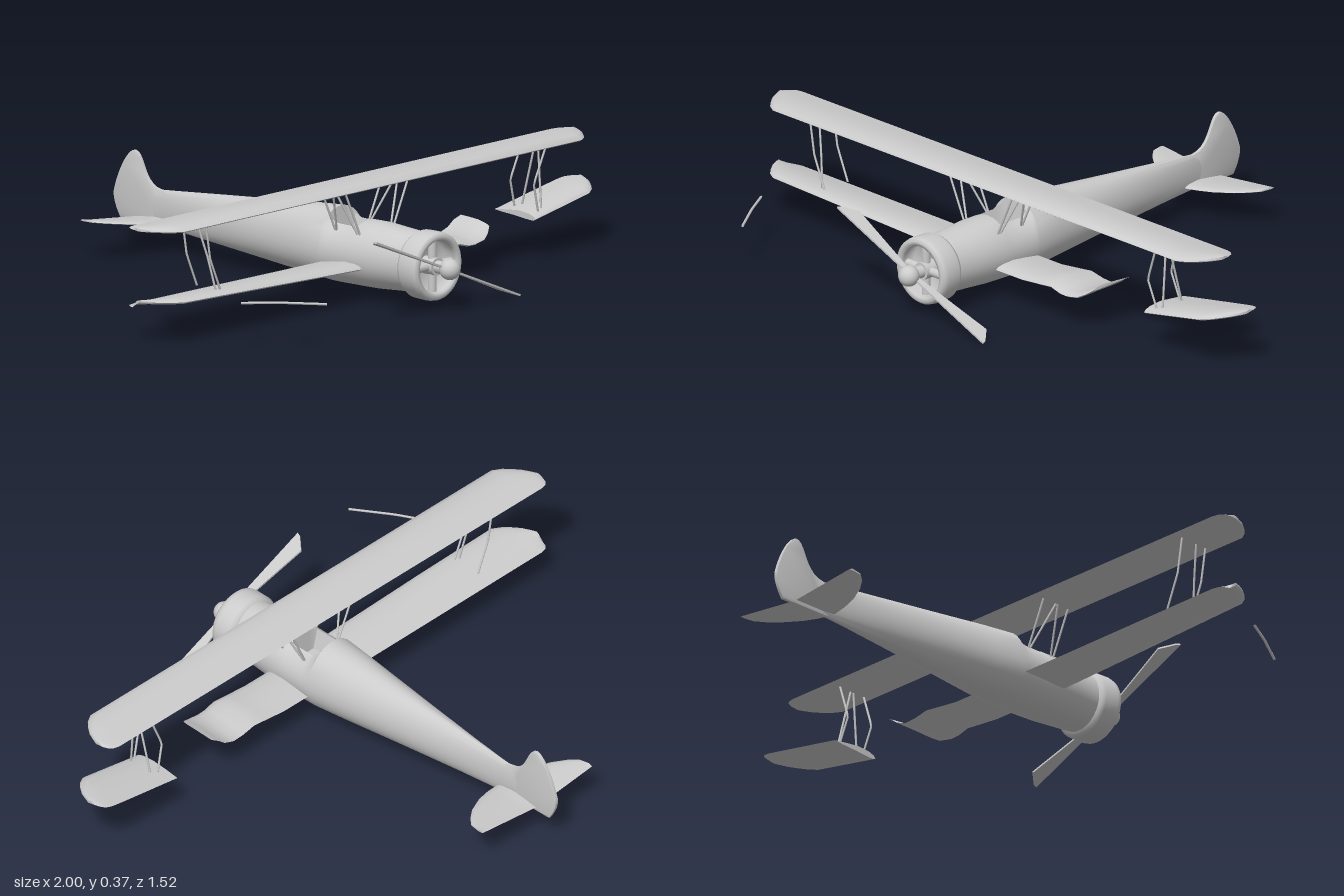
import * as THREE from 'three';
import { toCreasedNormals } from 'three/addons/utils/BufferGeometryUtils.js';

const CX = -0.035; // fuselage centre line
const V = (x, y, z) => new THREE.Vector3(x, y, z);
const material = new THREE.MeshStandardMaterial({ color: 0xcccccc, side: THREE.DoubleSide });

function add(group, name, geometry) {
  const mesh = new THREE.Mesh(geometry, material);
  mesh.name = name;
  group.add(mesh);
  return mesh;
}

// Skin closed rings of points, cap both ends and turn the faces outwards
function loft(rings, crease = 0.7) {
  const n = rings[0].length, last = rings.length - 1, tris = [];
  for (let i = 0; i < last; i++) {
    for (let j = 0; j < n; j++) {
      const k = (j + 1) % n, a = rings[i][j], b = rings[i][k], c = rings[i + 1][k], d = rings[i + 1][j];
      tris.push([a, b, c], [a, c, d]);
    }
  }
  for (const [ring, flip] of [[rings[0], true], [rings[last], false]]) {
    const mid = ring.reduce((s, p) => s.add(p), V(0, 0, 0)).divideScalar(n);
    ring.forEach((p, j) => {
      const q = ring[(j + 1) % n];
      tris.push(flip ? [mid, q, p] : [mid, p, q]);
    });
  }
  const volume = tris.reduce((s, [a, b, c]) => s + a.dot(b.clone().cross(c)), 0);
  const points = tris.flatMap(t => (volume < 0 ? [t[0], t[2], t[1]] : t));
  return toCreasedNormals(new THREE.BufferGeometry().setFromPoints(points), crease);
}

// Wing section: [x, trailing z, leading z, trailing y, leading y, thickness, sweep of broken edge]
const AIRFOIL = [[0, 0], [0.3, 0.55], [0.6, 0.95], [0.85, 0.8], [0.96, 0.45], [1, 0],
  [0.95, -0.3], [0.8, -0.3], [0.5, -0.15], [0.2, -0.1]];
const wing = sections => loft(sections.map(([x, z0, z1, y0, y1, t, dx = 0]) =>
  AIRFOIL.map(([u, h]) => V(x + dx * u, y0 + (y1 - y0) * u + h * t, z0 + (z1 - z0) * u))));

// Rounded tip outline: [distance in from the tip, trailing z, leading z]
const TIP = [[0, 0.245, 0.275], [0.008, 0.225, 0.295], [0.02, 0.215, 0.32], [0.04, 0.21, 0.346],
  [0.06, 0.21, 0.367], [0.09, 0.21, 0.385]];

function strut(group, name, points, r = 0.0035) {
  const path = new THREE.CurvePath();
  for (let i = 1; i < points.length; i++) path.add(new THREE.LineCurve3(V(...points[i - 1]), V(...points[i])));
  add(group, name, new THREE.TubeGeometry(path, (points.length - 1) * 6, r, 6));
}

function buildFuselage(group) {
  // [z, half width, bottom, top, cockpit floor]
  const sections = [
    [0.56, 0.088, 0.048, 0.232], [0.53, 0.09, 0.045, 0.235], [0.46, 0.097, 0.04, 0.238], [0.39, 0.102, 0.034, 0.242],
    [0.325, 0.105, 0.032, 0.24], [0.32, 0.105, 0.032, 0.238, 0.16], [0.24, 0.107, 0.03, 0.238, 0.16],
    [0.215, 0.107, 0.03, 0.25, 0.17], [0.205, 0.107, 0.03, 0.266], [0.1, 0.094, 0.035, 0.258],
    [-0.1, 0.069, 0.048, 0.238], [-0.3, 0.043, 0.061, 0.219], [-0.5, 0.017, 0.074, 0.199], [-0.6, 0.005, 0.08, 0.19]];
  const N = 36;
  add(group, 'fuselage', loft(sections.map(([z, w, bottom, top, floor]) => {
    const cy = 0.137;
    return Array.from({ length: N }, (_, i) => {
      const a = (i / N) * Math.PI * 2, s = Math.sin(a), x = Math.cos(a) * w;
      let y = cy + s * (s > 0 ? top - cy : cy - bottom);
      if (floor && s > 0 && Math.abs(x) < 0.05) y = floor;
      return V(CX + x, y, z);
    });
  }), 0.6));
}

function buildNose(group) {
  const profile = [[0.086, 0.535], [0.1, 0.54], [0.107, 0.552], [0.108, 0.6], [0.105, 0.615], [0.096, 0.623],
    [0.084, 0.62], [0.08, 0.61], [0.08, 0.565], [0, 0.565]];
  const cowl = new THREE.LatheGeometry(profile.map(p => new THREE.Vector2(...p)), 40).rotateX(Math.PI / 2);
  add(group, 'cowling', cowl).position.set(CX, 0.137, 0);
  // Engine cylinders around the crankcase
  for (let i = 0; i < 4; i++) {
    const cylinder = new THREE.CylinderGeometry(0.014, 0.014, 0.075, 12).translate(0, 0.045, 0).rotateZ(i * Math.PI / 2);
    add(group, 'engineCylinder', cylinder).position.set(CX, 0.137, 0.592);
  }
  add(group, 'crankcase', new THREE.CylinderGeometry(0.028, 0.028, 0.05, 20).rotateX(Math.PI / 2)).position.set(CX, 0.137, 0.59);
  add(group, 'propellerShaft', new THREE.CylinderGeometry(0.02, 0.02, 0.07, 16).rotateX(Math.PI / 2)).position.set(CX, 0.137, 0.625);
  add(group, 'spinner', new THREE.SphereGeometry(0.033, 24, 16)).position.set(CX, 0.137, 0.667);
  // Propeller blades, seen edge-on from ahead
  const outline = [[0, 0.662], [0.345, 0.662], [0.34, 0.648], [0.3, 0.607], [0.22, 0.618], [0.02, 0.645]];
  for (const turn of [0, Math.PI]) {
    const blade = new THREE.ExtrudeGeometry(new THREE.Shape(outline.map(p => new THREE.Vector2(...p))),
      { depth: 0.006, bevelEnabled: false });
    blade.translate(0, 0, -0.003).rotateX(Math.PI / 2).rotateZ(turn - 0.4);
    add(group, 'propellerBlade', blade).position.set(CX, 0.137, 0);
  }
}

function buildWings(group) {
  // Upper wing, whole
  const half = TIP.map(([d, z0, z1], i) => [-1 + d, z0, z1, 0.355, 0.355, 0.008 + i * 0.0018]);
  const other = half.map(([x, ...rest]) => [2 * CX - x, ...rest]).reverse();
  add(group, 'upperWing', wing([...half, ...other]));

  // Right lower wing, twisted slightly towards the tip
  add(group, 'rightLowerWing', wing([
    ...TIP.map(([d, z0, z1], i) => [-1 + d, z0, z1, 0.11, 0.133, 0.008 + i * 0.0018]),
    [-0.6, 0.21, 0.387, 0.108, 0.124, 0.017], [-0.3, 0.21, 0.387, 0.106, 0.114, 0.017],
    [CX, 0.21, 0.387, 0.105, 0.106, 0.017]]));

  // Left lower wing stub, buckled and torn off
  add(group, 'brokenLowerWing', wing([
    [CX, 0.21, 0.387, 0.105, 0.105, 0.017], [0.17, 0.21, 0.387, 0.105, 0.105, 0.017],
    [0.25, 0.21, 0.387, 0.114, 0.112, 0.017], [0.3, 0.21, 0.387, 0.12, 0.117, 0.017],
    [0.35, 0.21, 0.387, 0.11, 0.106, 0.016, -0.01], [0.39, 0.21, 0.387, 0.108, 0.105, 0.015, -0.02],
    [0.43, 0.21, 0.385, 0.122, 0.112, 0.014, -0.02], [0.455, 0.212, 0.375, 0.142, 0.125, 0.012, -0.02],
    [0.478, 0.22, 0.36, 0.154, 0.142, 0.008, -0.02]]));

  // Detached outer panel hanging from the struts
  const panel = TIP.map(([d, z0, z1], i) => {
    const x = 1 - d, y = 0.13 + (x - 0.67) * 0.17;
    return [x, z0 - 0.037, z1 - 0.035, y + 0.003, y, 0.008 + i * 0.0018];
  });
  add(group, 'detachedWingPanel', wing([...panel, [0.67, 0.178, 0.352, 0.133, 0.127, 0.017]]));
}

function buildStruts(group) {
  for (const s of [-1, 1]) {
    const top = CX + s * 0.142, foot = CX + s * 0.072;
    for (const [zTop, zFoot] of [[0.355, 0.355], [0.31, 0.345], [0.305, 0.255], [0.25, 0.25]]) {
      strut(group, 'cabaneStrut', [[top, 0.358, zTop], [foot, 0.205, zFoot]]);
    }
  }
  for (const z of [0.35, 0.25]) {
    strut(group, 'rightWingStrut', [[-0.785, 0.358, z], [-0.765, 0.24, z], [-0.72, 0.135, z]]);
    strut(group, 'bentWingStrut', [[0.722, 0.358, z], [0.675, 0.235, z - 0.01], [0.705, 0.14, z - 0.02]]);
  }
  strut(group, 'rightWingStrut', [[-0.785, 0.358, 0.31], [-0.755, 0.24, 0.33], [-0.735, 0.135, 0.345]]);
  strut(group, 'leftWingStrut', [[0.724, 0.358, 0.31], [0.724, 0.14, 0.325]]);
  strut(group, 'leftWingStrut', [[0.724, 0.358, 0.3], [0.724, 0.14, 0.24]]);
  strut(group, 'looseStrut', [[-0.815, 0.138, 0.53], [-0.75, 0.145, 0.635], [-0.67, 0.146, 0.755]], 0.004);
}

function buildTail(group) {
  // Stabiliser with a straight trailing edge and raised tips
  const side = [[0.24, -0.655], [0.235, -0.622], [0.21, -0.593], [0.17, -0.562], [0.11, -0.533], [0.06, -0.52], [0, -0.512]];
  const right = side.map(([d, z]) => [CX - d, -0.675, z, 0.092 + d * 0.11, 0.095 + d * 0.1, 0.005 + 0.007 * (1 - d / 0.24)]);
  const left = right.slice(0, -1).map(([x, ...rest]) => [2 * CX - x, ...rest]).reverse();
  add(group, 'tailplane', wing([...right, ...left]));

  // Fin and rudder drawn as (-z, y)
  const fin = new THREE.Shape();
  fin.moveTo(0.54, 0.08);
  fin.lineTo(0.73, 0.08);
  fin.bezierCurveTo(0.755, 0.115, 0.765, 0.15, 0.757, 0.17);
  fin.bezierCurveTo(0.74, 0.23, 0.7, 0.3, 0.672, 0.301);
  fin.bezierCurveTo(0.63, 0.298, 0.64, 0.2, 0.56, 0.193);
  fin.lineTo(0.54, 0.19);
  const geometry = new THREE.ExtrudeGeometry(fin, {
    depth: 0.006, bevelThickness: 0.003, bevelSize: 0.003, bevelOffset: -0.003, bevelSegments: 2, curveSegments: 10 });
  geometry.translate(0, 0, -0.003).rotateY(Math.PI / 2);
  add(group, 'finAndRudder', toCreasedNormals(geometry, 0.7)).position.x = CX;
}

export function createModel() {
  const group = new THREE.Group();
  group.name = 'damagedBiplane';
  for (const build of [buildFuselage, buildNose, buildWings, buildStruts, buildTail]) build(group);
  return group;
}
